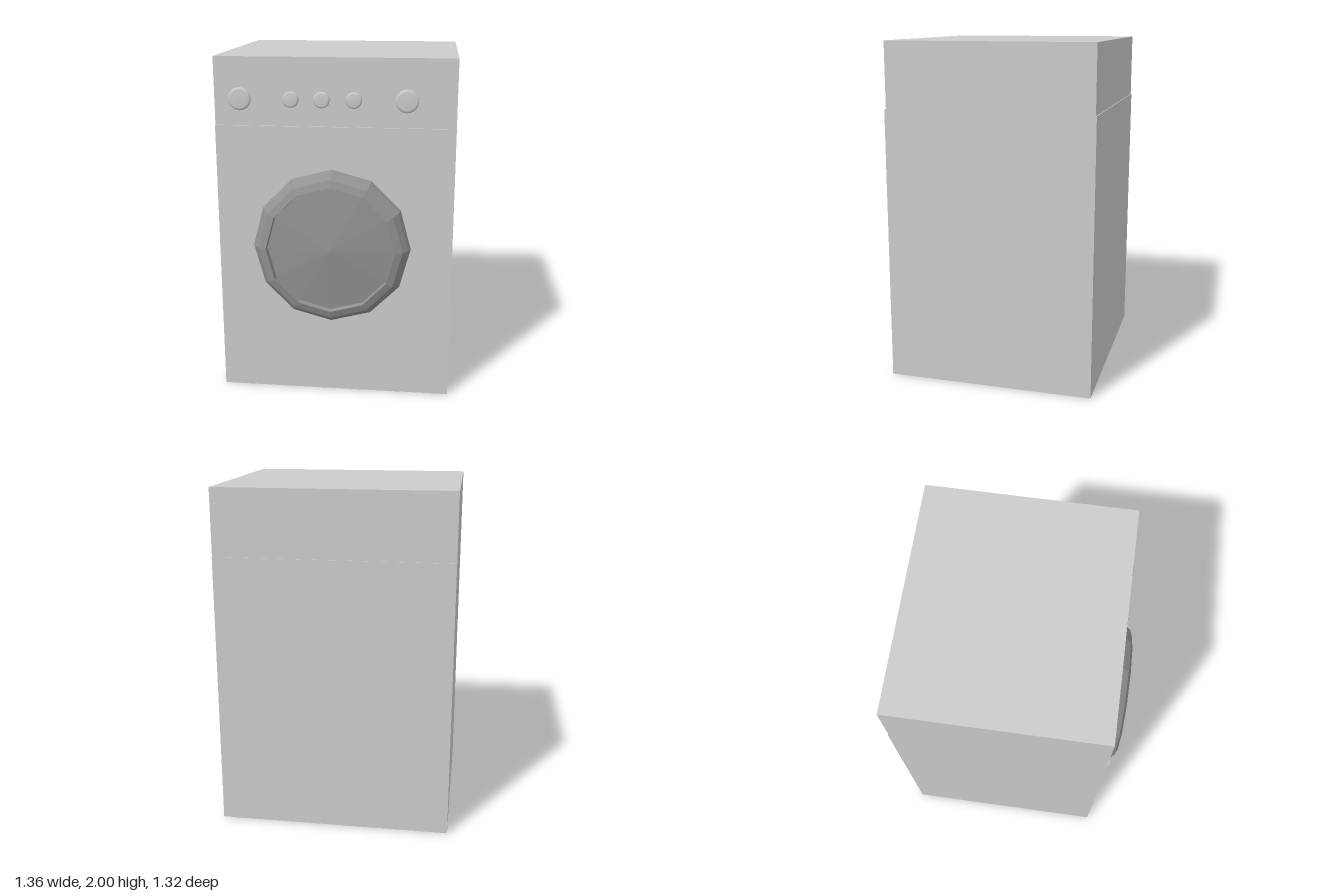
import * as THREE from 'three';

const grey = new THREE.MeshStandardMaterial({ color: 0xcccccc });
const doorGrey = new THREE.MeshStandardMaterial({ color: 0x929292, flatShading: true });

// Box given by its lower and upper limits in y and z
function slab(name, y0, y1, z0, z1) {
  const mesh = new THREE.Mesh(new THREE.BoxGeometry(1.36, y1 - y0, z1 - z0), grey);
  mesh.name = name;
  mesh.position.set(0, (y0 + y1) / 2, (z0 + z1) / 2);
  return mesh;
}

// Round part turned to face the front; profile is [radius, forward] pairs
function turned(name, profile, sides, material, x, y, z) {
  const points = profile.map(([r, h]) => new THREE.Vector2(r, h));
  const mesh = new THREE.Mesh(new THREE.LatheGeometry(points, sides), material);
  mesh.name = name;
  mesh.rotation.x = Math.PI / 2;
  mesh.position.set(x, y, z);
  return mesh;
}

export function createModel() {
  const model = new THREE.Group();
  model.name = 'washingMachine';

  // Cabinet and the slightly set-back control panel
  model.add(slab('cabinet', 0, 1.615, -0.66, 0.56));
  model.add(slab('controlPanel', 1.615, 2, -0.655, 0.55));

  // Twelve-sided door: rounded rim, short inner wall, shallow cone window
  const rim = [[0.457, 0], [0.457, 0.015], [0.445, 0.045], [0.415, 0.08], [0.372, 0.096], [0.368, 0.06]];
  model.add(turned('doorRim', rim, 12, doorGrey, -0.015, 0.915, 0.56));
  model.add(turned('doorWindow', [[0.368, 0.06], [0, 0.099]], 12, doorGrey, -0.015, 0.915, 0.56));

  // Row of knobs: a large one at each end, three small ones between
  const knobs = [[-0.535, 0.065], [-0.245, 0.046], [-0.07, 0.046], [0.11, 0.046], [0.405, 0.065]];
  for (const [x, r] of knobs) {
    const profile = [[r, 0], [r, 0.007], [r * 0.93, 0.013], [r * 0.78, 0.017], [0, 0.018]];
    model.add(turned('knob', profile, 20, grey, x, 1.765, 0.55));
  }
  return model;
}
